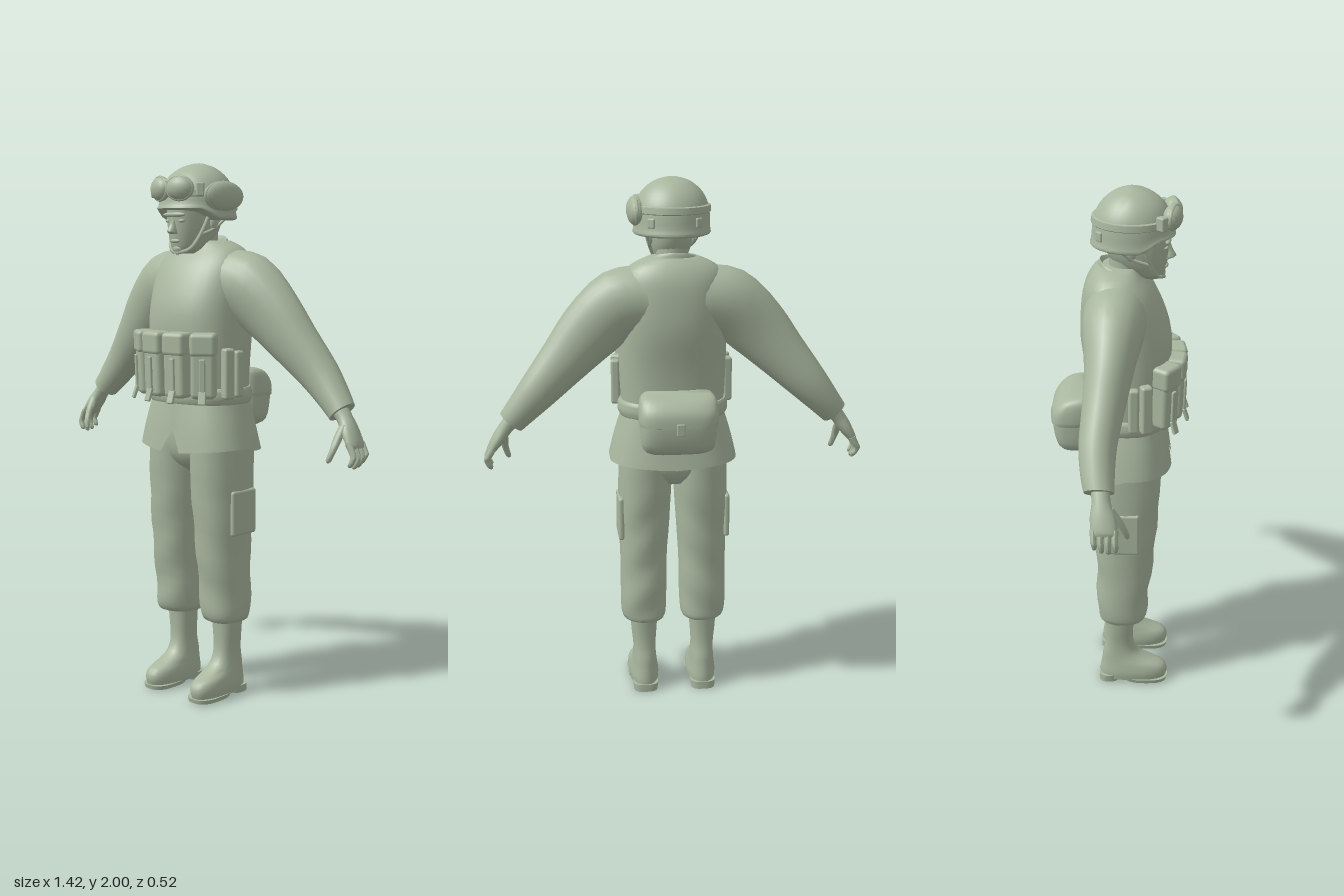
import * as THREE from 'three';
import { toCreasedNormals } from 'three/addons/utils/BufferGeometryUtils.js';
import { RoundedBoxGeometry } from 'three/addons/geometries/RoundedBoxGeometry.js';

const sageCloth = new THREE.MeshStandardMaterial({ color: 0xa9b79f, side: THREE.DoubleSide });
sageCloth.name = 'sageCloth';

// Horizontal cross-section: height, half width, front z, back z, centre x
const h = (y, rx, zf, zb, cx = 0) => [cx, y, (zf + zb) / 2, rx, (zf - zb) / 2, 0];

// Catmull-Rom smoothing between cross-sections
function refine(rows, k) {
  const out = [];
  for (let i = 0; i < rows.length - 1; i++) {
    const [p0, p1, p2, p3] = [rows[Math.max(i - 1, 0)], rows[i], rows[i + 1], rows[Math.min(i + 2, rows.length - 1)]];
    for (let j = 0; j < k; j++) {
      const t = j / k;
      out.push(p1.map((b, n) => {
        const a = p0[n], c = p2[n], d = p3[n];
        return b + 0.5 * t * (c - a + t * (2 * a - 5 * b + 4 * c - d + t * (3 * (b - c) + d - a)));
      }));
    }
  }
  out.push(rows[rows.length - 1]);
  return out;
}

// Skin of rows [x, y, z, radiusA, radiusB, tilt]; side -1 mirrors it in x
function loft(rows, { n = 24, k = 3, p = 1, side = 1, caps = true, rule = null, crease = 0.8 } = {}) {
  const rings = refine(rows, k), pos = [], idx = [];
  const add = (x, y, z) => {
    const v = new THREE.Vector3(x, y, z);
    if (rule) rule(v);
    pos.push(v.x * side, v.y, v.z);
  };
  const pow = (c) => Math.sign(c) * Math.abs(c) ** p;
  for (const [x, y, z, a, b, t] of rings) {
    for (let i = 0; i < n; i++) {
      const q = (i / n) * Math.PI * 2, u = a * pow(Math.cos(q));
      add(x + u * Math.cos(t), y + u * Math.sin(t), z + b * pow(Math.sin(q)));
    }
  }
  const tri = (a, b, c) => idx.push(...(side > 0 ? [a, b, c] : [a, c, b]));
  for (let r = 0; r < rings.length - 1; r++) {
    for (let i = 0; i < n; i++) {
      const a = r * n + i, b = r * n + (i + 1) % n;
      tri(a, a + n, b);
      tri(b, a + n, b + n);
    }
  }
  if (caps) {
    const last = (rings.length - 1) * n, c = rings.length * n;
    add(...rings[0].slice(0, 3));
    add(...rings[rings.length - 1].slice(0, 3));
    for (let i = 0; i < n; i++) {
      tri(c, i, (i + 1) % n);
      tri(c + 1, last + (i + 1) % n, last + i);
    }
  }
  const g = new THREE.BufferGeometry();
  g.setAttribute('position', new THREE.Float32BufferAttribute(pos, 3));
  g.setIndex(idx);
  return toCreasedNormals(g, crease);
}

export function createModel() {
  const model = new THREE.Group();
  model.name = 'soldier';
  const put = (name, geo, pos = [0, 0, 0], rot = [0, 0, 0], scale = [1, 1, 1]) => {
    const m = new THREE.Mesh(geo, sageCloth);
    m.name = name;
    m.position.set(...pos);
    m.rotation.set(...rot, 'YXZ');
    m.scale.set(...scale);
    model.add(m);
    return m;
  };
  const box = (w, hh, d, r = 0.01) => new RoundedBoxGeometry(w, hh, d, 2, r);
  const ball = new THREE.SphereGeometry(1, 16, 12);
  const tube = (pts, r) => new THREE.TubeGeometry(new THREE.CatmullRomCurve3(pts.map((q) => new THREE.Vector3(...q))), 14, r, 6);

  // Torso, belt and flared jacket skirt with a front slit
  put('torso', loft([h(1.11, 0.19, 0.145, -0.13), h(1.3, 0.2, 0.165, -0.14), h(1.45, 0.2, 0.17, -0.162),
    h(1.56, 0.2, 0.14, -0.16), h(1.64, 0.19, 0.1, -0.148), h(1.69, 0.155, 0.06, -0.125), h(1.72, 0.09, 0.04, -0.1)], { p: 0.85, n: 32 }));
  put('belt', loft([h(1.125, 0.2, 0.157, -0.137), h(1.14, 0.207, 0.163, -0.142), h(1.17, 0.207, 0.165, -0.144), h(1.185, 0.2, 0.157, -0.137)], { p: 0.85, n: 32 }));
  put('jacketSkirt', loft([h(0.94, 0.242, 0.178, -0.165), h(1.04, 0.22, 0.165, -0.148), h(1.14, 0.192, 0.148, -0.132)], {
    n: 48, p: 0.8, caps: false,
    rule: (v) => {
      const low = Math.max(0, 1.14 - v.y) / 0.2;
      if (v.z > 0.1 && Math.abs(v.x) < 0.008) { v.y += 0.09 * low * low; v.z -= 0.02 * low; }
      v.y += 0.1 * low * Math.abs(v.x) * (v.z > 0 ? 1 : 0.5);
    },
  }));
  put('pelvis', loft([h(0.86, 0.06, 0.06, -0.08), h(0.91, 0.16, 0.12, -0.12), h(1.0, 0.2, 0.14, -0.13), h(1.08, 0.19, 0.13, -0.12)]));
  put('collar', loft([h(1.64, 0.12, 0.105, -0.1), h(1.69, 0.1, 0.098, -0.095), h(1.7, 0.09, 0.088, -0.088), h(1.66, 0.075, 0.075, -0.075)], {
    rule: (v) => { v.y -= 0.42 * v.z + (v.z > 0.08 ? 0.015 : 0); },
  }));

  // Neck, head and facial features
  put('neck', loft([h(1.6, 0.07, 0.055, -0.075), h(1.7, 0.06, 0.06, -0.06), h(1.8, 0.06, 0.07, -0.06)]));
  put('head', loft([h(1.672, 0.03, 0.125, 0.06), h(1.69, 0.05, 0.139, 0.01), h(1.73, 0.067, 0.148, -0.045),
    h(1.78, 0.077, 0.154, -0.072), h(1.85, 0.08, 0.158, -0.08)], { p: 0.9 }));
  put('nose', loft([h(1.742, 0.018, 0.158, 0.13), h(1.752, 0.017, 0.18, 0.13), h(1.775, 0.011, 0.168, 0.13), h(1.805, 0.008, 0.157, 0.13)], { n: 12 }));
  put('lips', ball, [0, 0.0 + 1.718, 0.143], [0, 0, 0], [0.024, 0.008, 0.01]);
  put('chin', ball, [0, 1.69, 0.125], [0, 0, 0], [0.026, 0.018, 0.018]);
  put('brow', ball, [0, 1.812, 0.148], [0, 0, 0], [0.055, 0.01, 0.014]);

  // Helmet: the rim dips over the ears and nape
  put('helmet', loft([h(1.83, 0.132, 0.16, -0.115), h(1.835, 0.143, 0.178, -0.126), h(1.85, 0.14, 0.17, -0.12), h(1.895, 0.136, 0.162, -0.113),
    h(1.945, 0.112, 0.135, -0.085), h(1.98, 0.072, 0.09, -0.043), h(1.996, 0.03, 0.045, 0), h(2.0, 0.004, 0.02, 0.015)], {
    n: 36,
    rule: (v) => {
      const low = THREE.MathUtils.clamp((1.9 - v.y) / 0.07, 0, 1);
      v.y -= 0.036 * low * (1 - THREE.MathUtils.smoothstep(v.z, 0.05, 0.13));
    },
  }));
  put('goggleStrap', loft([h(1.875, 0.14, 0.165, -0.119), h(1.878, 0.144, 0.17, -0.122), h(1.9, 0.142, 0.168, -0.119), h(1.903, 0.135, 0.16, -0.112)], { n: 32, k: 1 }));
  put('goggleBridge', box(0.09, 0.05, 0.03), [0, 1.915, 0.172]);
  put('helmetSideCase', ball, [0.132, 1.878, 0.028], [0, 0.02, 0], [0.033, 0.054, 0.1]);
  put('helmetSideCaseRim', new THREE.TorusGeometry(1, 0.07, 6, 28), [0.134, 1.878, 0.028], [0, Math.PI / 2, 0], [0.097, 0.051, 0.1]);

  // Magazine pouches, utility straps and the seat pack
  const pouch = (s, x, z, turn) => {
    const g = new THREE.Group();
    g.name = 'magazinePouch';
    const part = (geo, p, r = 0) => {
      const m = new THREE.Mesh(geo, sageCloth);
      m.name = 'pouchPanel';
      m.position.set(...p);
      m.rotation.x = r;
      g.add(m);
    };
    part(box(0.092, 0.235, 0.07, 0.018), [0, 0, 0]);
    part(box(0.097, 0.085, 0.076, 0.016), [0, 0.079, 0.002]);
    part(box(0.022, 0.12, 0.012, 0.004), [0, -0.03, 0.038]);
    part(box(0.028, 0.05, 0.012, 0.004), [0, -0.11, 0.046], -0.35);
    g.position.set(s * x, 1.27, z);
    g.rotation.set(0.03, s * turn, 0, 'YXZ');
    model.add(g);
  };

  for (const s of [1, -1]) {
    const side = s > 0 ? 'left' : 'right';
    pouch(s, 0.052, 0.183, 0.12);
    pouch(s, 0.147, 0.148, 0.6);
    put(side + 'UtilityPouchFront', box(0.042, 0.185, 0.04, 0.01), [s * 0.203, 1.242, 0.08], [0, s * 1.2, 0]);
    put(side + 'UtilityPouchRear', box(0.038, 0.17, 0.034, 0.01), [s * 0.212, 1.24, 0.036], [0, s * 1.45, 0]);

    // Goggles and chin strap
    put(side + 'GoggleLens', ball, [s * 0.048, 1.905, 0.165], [0, s * 0.3, 0], [0.054, 0.044, 0.034]);
    put(side + 'GoggleRim', new THREE.TorusGeometry(1, 0.12, 6, 24), [s * 0.049, 1.905, 0.17], [0, s * 0.3, 0], [0.051, 0.042, 0.06]);
    put(side + 'GoggleBuckle', box(0.03, 0.05, 0.035, 0.006), [s * 0.112, 1.9, 0.128], [0, s * 0.75, 0]);
    put(side + 'RearClip', box(0.03, 0.035, 0.014, 0.005), [s * 0.085, 1.845, -0.088], [0, s * 2.45, 0]);
    put(side + 'ChinStrap', tube([[s * 0.095, 1.82, 0.06], [s * 0.078, 1.75, 0.085], [s * 0.048, 1.69, 0.115], [0, 1.674, 0.138]], 0.007));
    put(side + 'NapeStrap', tube([[s * 0.1, 1.81, -0.03], [s * 0.084, 1.765, 0.02], [s * 0.076, 1.74, 0.085]], 0.006));
    put(side + 'Ear', ball, [s * 0.08, 1.785, 0.02], [0, 0, 0], [0.012, 0.03, 0.02]);
    put(side + 'Eye', ball, [s * 0.032, 1.79, 0.142], [0, 0, 0], [0.014, 0.007, 0.011]);

    // Sleeve, palm, curled fingers and thumb
    put(side + 'Sleeve', loft([[0.1, 1.565, -0.03, 0.125, 0.115, -1.6], [0.21, 1.545, -0.035, 0.128, 0.11, -1.95],
      [0.31, 1.452, -0.045, 0.117, 0.088, -2.4], [0.4, 1.355, -0.06, 0.096, 0.076, -2.43], [0.5, 1.247, -0.078, 0.075, 0.066, -2.43],
      [0.57, 1.168, -0.076, 0.059, 0.058, -2.43], [0.607, 1.125, -0.07, 0.051, 0.052, -2.43]], { side: s }));
    put(side + 'Hand', loft([[0.595, 1.14, -0.066, 0.03, 0.034, -2.43], [0.628, 1.1, -0.062, 0.027, 0.032, -2.5],
      [0.655, 1.06, -0.055, 0.025, 0.044, -2.65], [0.682, 1.018, -0.05, 0.018, 0.045, -2.8], [0.69, 1.005, -0.05, 0.01, 0.038, -2.8]], { n: 16, side: s }));
    for (let f = 0; f < 4; f++) {
      const z = -0.086 + f * 0.024, d = [0.016, 0.004, 0, 0.008][f];
      put(side + 'Finger', loft([[0.678, 1.025, z, 0.013, 0.012, -2.8], [0.697, 0.99, z, 0.012, 0.011, -3],
        [0.7, 0.965 + d, z + 0.002, 0.011, 0.01, -3.3], [0.688, 0.942 + d, z + 0.003, 0.009, 0.008, -3.6], [0.683, 0.936 + d, z + 0.003, 0.002, 0.002, -3.6]], { n: 8, k: 2, side: s }));
    }
    put(side + 'Thumb', loft([[0.64, 1.085, -0.035, 0.016, 0.016, -2.9], [0.637, 1.045, -0.01, 0.017, 0.015, -3.14],
      [0.632, 1.0, 0.014, 0.012, 0.012, -3.3], [0.622, 0.965, 0.025, 0.01, 0.009, -3.4], [0.619, 0.957, 0.026, 0.002, 0.002, -3.4]], { n: 10, k: 2, side: s }));

    // Bloused trouser leg with a thigh pocket
    put(side + 'TrouserLeg', loft([h(0.295, 0.062, 0.055, -0.08, 0.116), h(0.3, 0.08, 0.078, -0.096, 0.116), h(0.335, 0.088, 0.09, -0.102, 0.116),
      h(0.42, 0.09, 0.096, -0.104, 0.115), h(0.55, 0.091, 0.112, -0.104, 0.114), h(0.7, 0.098, 0.124, -0.112, 0.111),
      h(0.85, 0.102, 0.135, -0.125, 0.107), h(1.0, 0.1, 0.138, -0.13, 0.104)], {
      side: s, p: 0.9,
      rule: (v) => { v.z += 0.004 * Math.sin(v.y * 34 + v.x * 22) * THREE.MathUtils.clamp((0.95 - v.y) * 4, 0, 1); },
    }));
    put(side + 'ThighPocket', box(0.022, 0.17, 0.13, 0.01), [s * 0.203, 0.72, -0.005], [0, 0, 0]);

    // Boot with separate sole and heel
    put(side + 'Boot', loft([h(0.015, 0.054, 0.166, -0.094, 0.114), h(0.045, 0.058, 0.174, -0.094, 0.114), h(0.075, 0.055, 0.16, -0.09, 0.114),
      h(0.1, 0.05, 0.105, -0.086, 0.114), h(0.13, 0.046, 0.058, -0.082, 0.114), h(0.18, 0.044, 0.038, -0.072, 0.115),
      h(0.25, 0.05, 0.038, -0.07, 0.116), h(0.33, 0.055, 0.045, -0.075, 0.116)], {
      side: s, p: 0.85, rule: (v) => { if (v.y < 0.1 && v.z > 0) v.x += 0.03 * v.z; },
    }));
    put(side + 'Sole', loft([h(0.004, 0.055, 0.172, 0.0, 0.117), h(0.02, 0.059, 0.176, -0.01, 0.117)], { side: s, p: 0.75, k: 1 }));
    put(side + 'Heel', loft([h(0, 0.046, -0.02, -0.098, 0.114), h(0.03, 0.05, -0.01, -0.098, 0.114)], { side: s, p: 0.7, k: 1 }));
  }

  // Pack on the lower back with its flap
  put('backPack', loft([h(1.02, 0.1, -0.14, -0.215), h(1.045, 0.132, -0.115, -0.252), h(1.12, 0.14, -0.11, -0.268),
    h(1.18, 0.14, -0.11, -0.262), h(1.22, 0.135, -0.11, -0.23), h(1.235, 0.12, -0.12, -0.195)], { p: 0.55, n: 32 }));
  put('packFlap', loft([h(1.135, 0.138, -0.12, -0.273), h(1.14, 0.145, -0.115, -0.274), h(1.185, 0.145, -0.11, -0.268),
    h(1.225, 0.138, -0.11, -0.235), h(1.241, 0.122, -0.12, -0.195)], { p: 0.55, n: 32 }));
  put('packBuckle', box(0.03, 0.045, 0.012, 0.004), [0, 1.13, -0.272]);
  return model;
}
